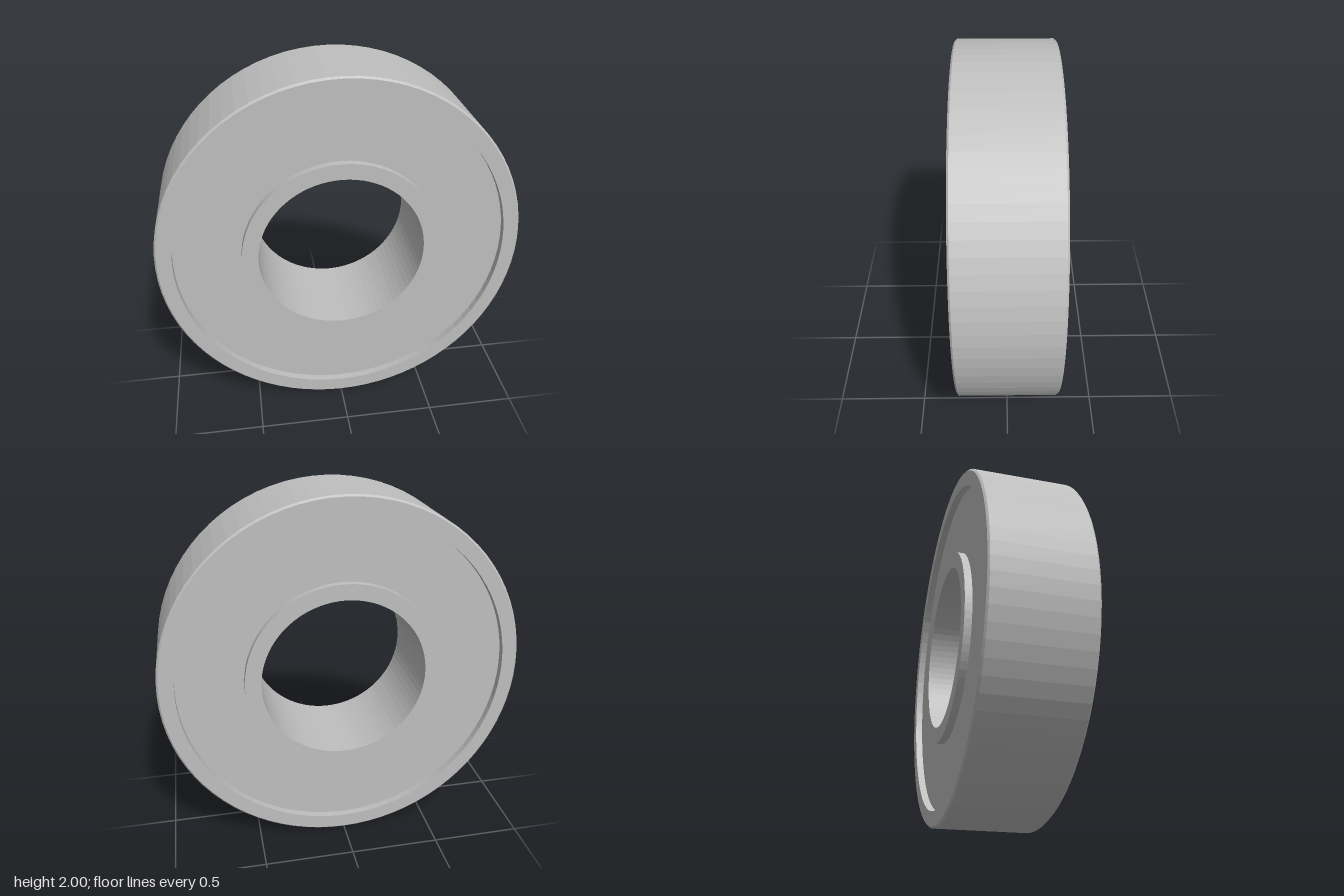
import * as THREE from 'three';

const SEGMENTS = 80;

// Solid ring around the z axis, with optional chamfers on its inner and outer edges
function ring(name, inner, outer, half, material, bevelIn = 0, bevelOut = 0) {
  const profile = [];
  const add = (r, z) => profile.push(new THREE.Vector2(r, z));
  const corner = (r, z, dr, dz, bevel, radialFirst) => {
    if (!bevel) return add(r, z);
    const a = [r + dr * bevel, z], b = [r, z + dz * bevel];
    for (const p of radialFirst ? [a, b] : [b, a]) add(...p);
  };
  corner(outer, -half, -1, 1, bevelOut, true);
  corner(outer, half, -1, -1, bevelOut, false);
  corner(inner, half, 1, -1, bevelIn, true);
  corner(inner, -half, 1, 1, bevelIn, false);
  profile.push(profile[0].clone());
  const geometry = new THREE.LatheGeometry(profile, SEGMENTS);
  geometry.rotateX(Math.PI / 2);
  const mesh = new THREE.Mesh(geometry, material);
  mesh.name = name;
  mesh.position.y = 1;
  return mesh;
}

export function createModel() {
  const steel = new THREE.MeshStandardMaterial({ color: 0xbfbfbf, flatShading: true });
  steel.name = 'steel grey';

  const model = new THREE.Group();
  model.name = 'ballBearing';
  model.add(
    ring('outerRing', 0.91, 1, 0.27, steel, 0, 0.01),
    ring('innerRing', 0.456, 0.544, 0.27, steel),
    // Shield recessed between the two rings on both sides
    ring('shield', 0.54, 0.914, 0.23, steel),
  );
  return model;
}
